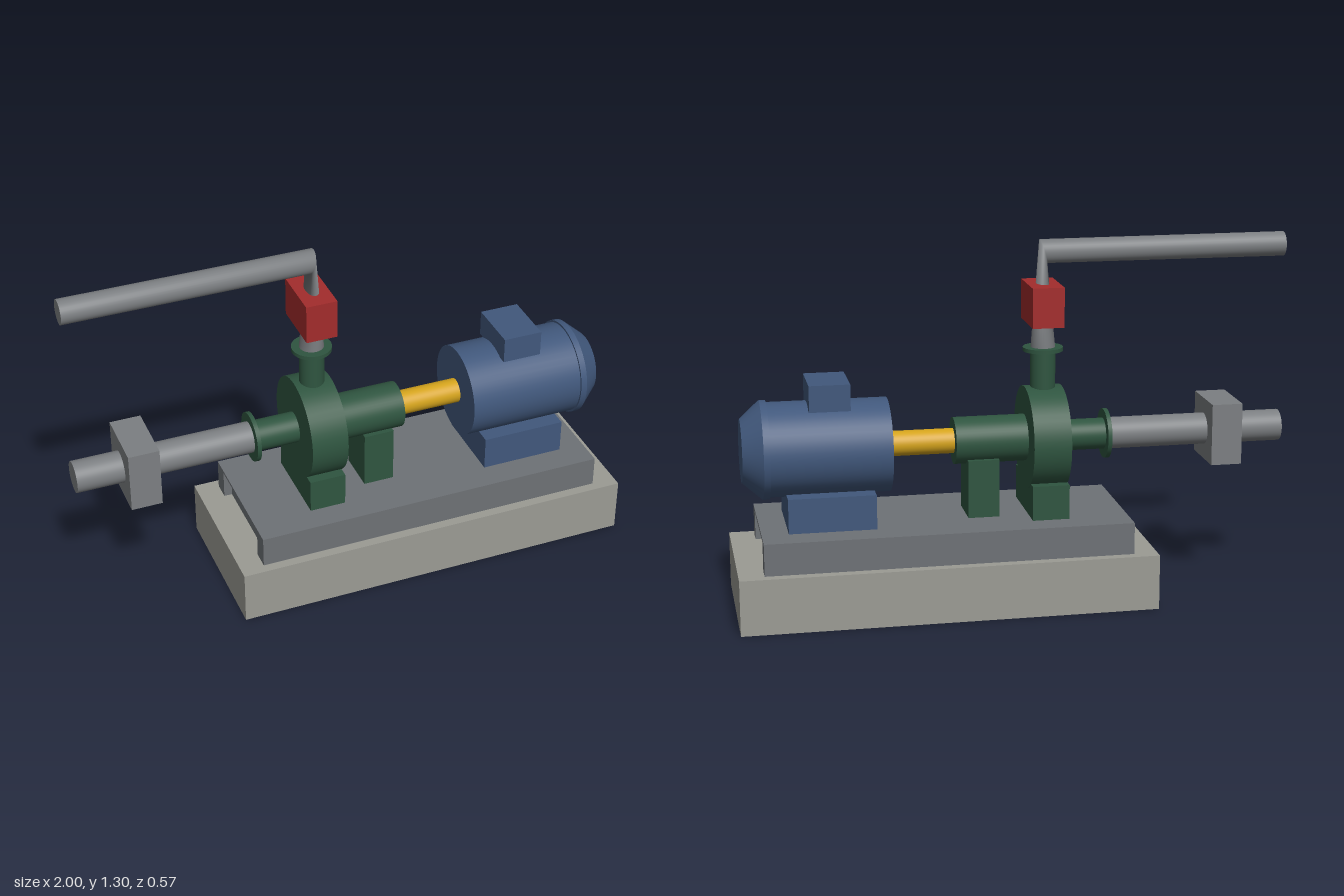
import * as THREE from 'three';

const paint = (name, color) => {
  const m = new THREE.MeshStandardMaterial({ color });
  m.name = name;
  return m;
};

export function createModel() {
  const concrete = paint('concrete', 0x9b9b94);
  const steel = paint('plate steel', 0x6e7276);
  const green = paint('pump green', 0x2f5540);
  const blue = paint('motor blue', 0x41587c);
  const yellow = paint('guard yellow', 0xd4a31c);
  const red = paint('valve red', 0xa32c2c);
  const grey = paint('pipe grey', 0x7c7f82);

  const model = new THREE.Group();
  const axisY = 0.584; // shaft centre height
  const outletX = -0.117;

  const add = (name, geometry, material) => {
    const mesh = new THREE.Mesh(geometry, material);
    mesh.name = name;
    model.add(mesh);
    return mesh;
  };
  // box from x and y ranges, with z from z0 to z1
  const box = (name, mat, x0, x1, y0, y1, z1, z0 = -z1) =>
    add(name, new THREE.BoxGeometry(x1 - x0, y1 - y0, z1 - z0), mat)
      .position.set((x0 + x1) / 2, (y0 + y1) / 2, (z0 + z1) / 2);
  // cylinder or cone along the shaft axis
  const round = (name, mat, x0, x1, r0, r1 = r0) => {
    const g = new THREE.CylinderGeometry(r1, r0, x1 - x0, 48).rotateZ(-Math.PI / 2);
    add(name, g, mat).position.set((x0 + x1) / 2, axisY, 0);
  };
  // upright cylinder on the outlet axis
  const upright = (name, mat, y0, y1, r) =>
    add(name, new THREE.CylinderGeometry(r, r, y1 - y0, 40), mat)
      .position.set(outletX, (y0 + y1) / 2, 0);

  // foundation and base frame with recessed ends
  box('foundation', concrete, -0.485, 1, 0, 0.2, 0.285);
  box('baseTop', steel, -0.4, 0.91, 0.306, 0.315, 0.25);
  box('baseRailLeft', steel, -0.4, 0.91, 0.2, 0.306, 0.25, 0.185);
  box('baseRailRight', steel, -0.4, 0.91, 0.2, 0.306, -0.185, -0.25);
  box('baseCore', steel, -0.37, 0.88, 0.2, 0.306, 0.185);

  // pump
  round('volute', green, -0.185, -0.05, 0.186);
  box('voluteFoot', green, -0.184, -0.051, 0.315, 0.44, 0.155);
  round('bearingHousing', green, -0.05, 0.21, 0.084);
  box('bearingFoot', green, 0.055, 0.168, 0.315, 0.525, 0.078);
  round('inletNozzle', green, -0.34, -0.185, 0.056);
  round('inletFlange', green, -0.355, -0.34, 0.09);
  upright('outletNozzle', green, 0.74, 0.9, 0.045);
  upright('outletFlange', green, 0.9, 0.914, 0.072);

  // coupling and motor
  round('coupling', yellow, 0.21, 0.445, 0.045);
  round('motorBody', blue, 0.445, 0.875, 0.168);
  round('motorRim', blue, 0.872, 0.895, 0.175);
  round('motorEndBell', blue, 0.895, 0.965, 0.175, 0.113);
  box('motorFoot', blue, 0.505, 0.815, 0.315, 0.44, 0.148);
  box('terminalBox', blue, 0.585, 0.73, 0.735, 0.83, 0.102);

  // suction pipe and its valve
  round('suctionPipe', grey, -1, -0.355, 0.057);
  box('suctionValve', grey, -0.83, -0.718, 0.473, 0.697, 0.113);

  // discharge pipe: three rings, [centre x, centre y, ring axis x, ring axis y]
  const rings = [
    [outletX, 0.913, 1, 0],
    [outletX, 1.257, 0.27, 0.963],
    [-1, 1.257, 0, 1],
  ];
  const sides = 32, r = 0.044, pos = [], index = [];
  rings.forEach(([x, y, ux, uy], i) => {
    for (let j = 0; j < sides; j++) {
      const a = (j / sides) * Math.PI * 2, c = r * Math.cos(a);
      pos.push(x + c * ux, y + c * uy, -r * Math.sin(a));
      if (i < rings.length - 1) {
        const p = i * sides + j, q = i * sides + ((j + 1) % sides);
        index.push(p, q, p + sides, q, q + sides, p + sides);
      }
    }
  });
  const pipe = new THREE.BufferGeometry();
  pipe.setAttribute('position', new THREE.Float32BufferAttribute(pos, 3));
  pipe.setIndex(index);
  pipe.computeVertexNormals();
  add('dischargePipe', pipe, grey);
  const cap = new THREE.CircleGeometry(r, sides).rotateY(-Math.PI / 2);
  add('dischargePipeEnd', cap, grey).position.set(-1, 1.257, 0);

  // discharge valve
  box('dischargeValve', red, -0.173, -0.059, 1, 1.143, 0.103);

  return model;
}
